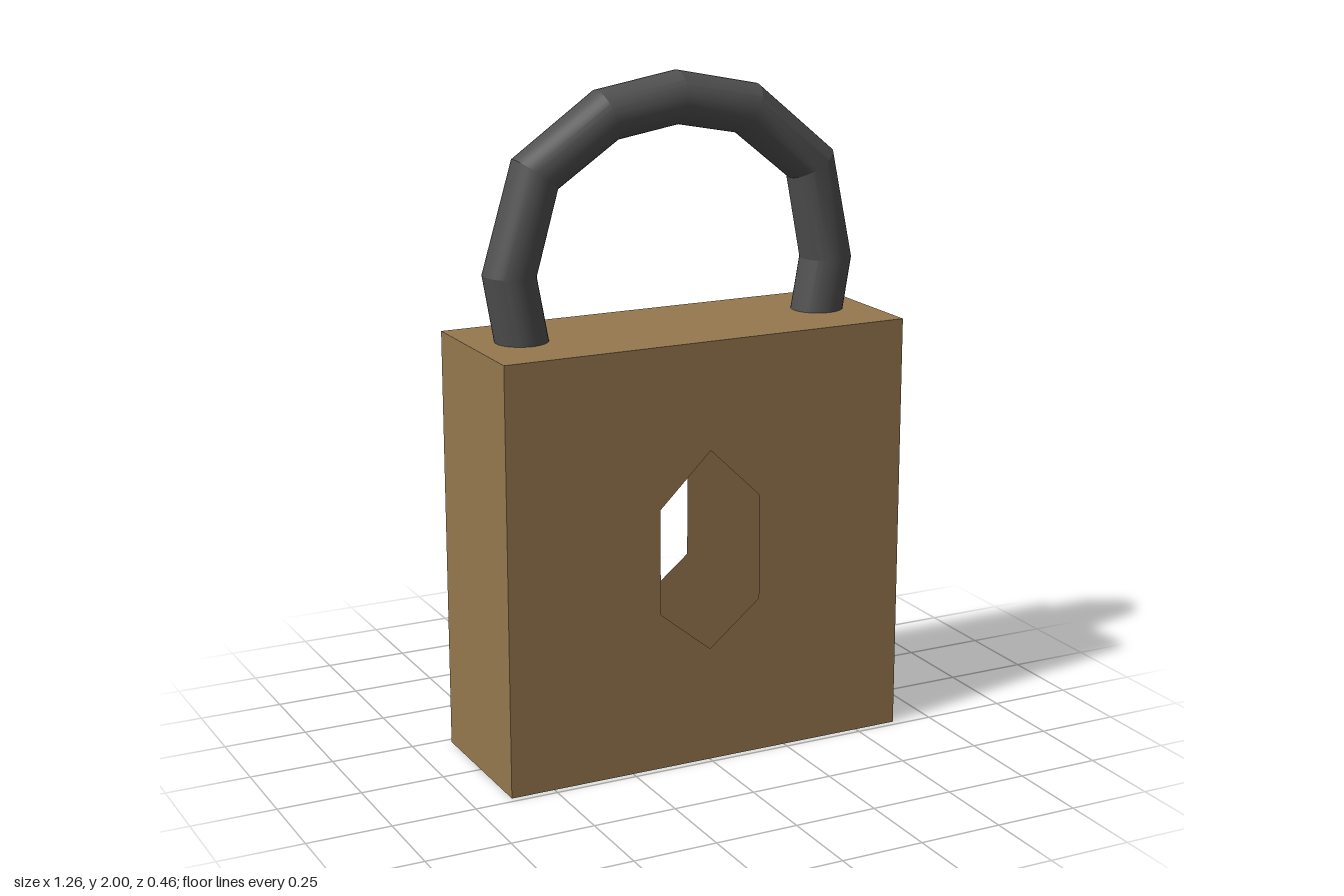
import * as THREE from 'three';
import { toCreasedNormals } from 'three/addons/utils/BufferGeometryUtils.js';

const W = 1.265, H = 1.265, D = 0.46;

// Curve that steps exactly through its points, so the tube keeps straight segments
class StepCurve extends THREE.Curve {
  constructor(points) {
    super();
    this.points = points;
  }
  getPoint(t, target = new THREE.Vector3()) {
    return target.copy(this.points[Math.round(t * (this.points.length - 1))]);
  }
  getPointAt(t, target) {
    return this.getPoint(t, target);
  }
  // Bisecting direction at each joint
  getTangentAt(t, target = new THREE.Vector3()) {
    const p = this.points, last = p.length - 1, i = Math.round(t * last);
    const after = p[Math.min(i + 1, last)].clone().sub(p[i]).normalize();
    const before = p[i].clone().sub(p[Math.max(i - 1, 0)]).normalize();
    return target.copy(after).add(before).normalize();
  }
}

export function createModel() {
  const model = new THREE.Group();
  const brass = new THREE.MeshStandardMaterial({ color: 0x96784f, side: THREE.DoubleSide });
  const steel = new THREE.MeshStandardMaterial({ color: 0x505050, side: THREE.DoubleSide });

  const body = new THREE.Group();
  body.name = 'body';
  model.add(body);
  const addPanel = (name, geometry, position, rotation) => {
    const mesh = new THREE.Mesh(geometry, brass);
    mesh.name = name;
    mesh.position.set(...position);
    mesh.rotation.set(...rotation);
    body.add(mesh);
  };

  // Front and back panels with a hexagonal keyhole; the body is a hollow shell
  const toPoints = (list) => list.map(([x, y]) => new THREE.Vector2(x, y));
  const face = new THREE.Shape(toPoints([[-W / 2, 0], [W / 2, 0], [W / 2, H], [-W / 2, H]]));
  face.holes.push(new THREE.Path(toPoints([
    [0, 0.945], [-0.16, 0.79], [-0.16, 0.475], [0, 0.345], [0.16, 0.475], [0.16, 0.79],
  ])));
  const faceGeometry = new THREE.ShapeGeometry(face);
  addPanel('frontPanel', faceGeometry, [0, 0, D / 2], [0, 0, 0]);
  addPanel('backPanel', faceGeometry, [0, 0, -D / 2], [0, Math.PI, 0]);

  // Sides, top and bottom
  const sideGeometry = new THREE.PlaneGeometry(D, H);
  const lidGeometry = new THREE.PlaneGeometry(W, D);
  addPanel('leftPanel', sideGeometry, [W / 2, H / 2, 0], [0, Math.PI / 2, 0]);
  addPanel('rightPanel', sideGeometry, [-W / 2, H / 2, 0], [0, -Math.PI / 2, 0]);
  addPanel('topPanel', lidGeometry, [0, H, 0], [-Math.PI / 2, 0, 0]);
  addPanel('bottomPanel', lidGeometry, [0, 0, 0], [Math.PI / 2, 0, 0]);

  // Shackle: a bent round bar of straight segments
  const path = [
    [-0.455, 1.15], [-0.51, 1.455], [-0.428, 1.735], [-0.209, 1.886], [0.013, 1.923],
    [0.238, 1.878], [0.45, 1.704], [0.508, 1.42], [0.461, 1.15],
  ].map(([x, y]) => new THREE.Vector3(x, y, -0.013));
  const bar = new THREE.TubeGeometry(new StepCurve(path), path.length - 1, 0.077, 32, false);
  const shackle = new THREE.Mesh(toCreasedNormals(bar, 0.26), steel);
  shackle.name = 'shackle';
  model.add(shackle);

  return model;
}
